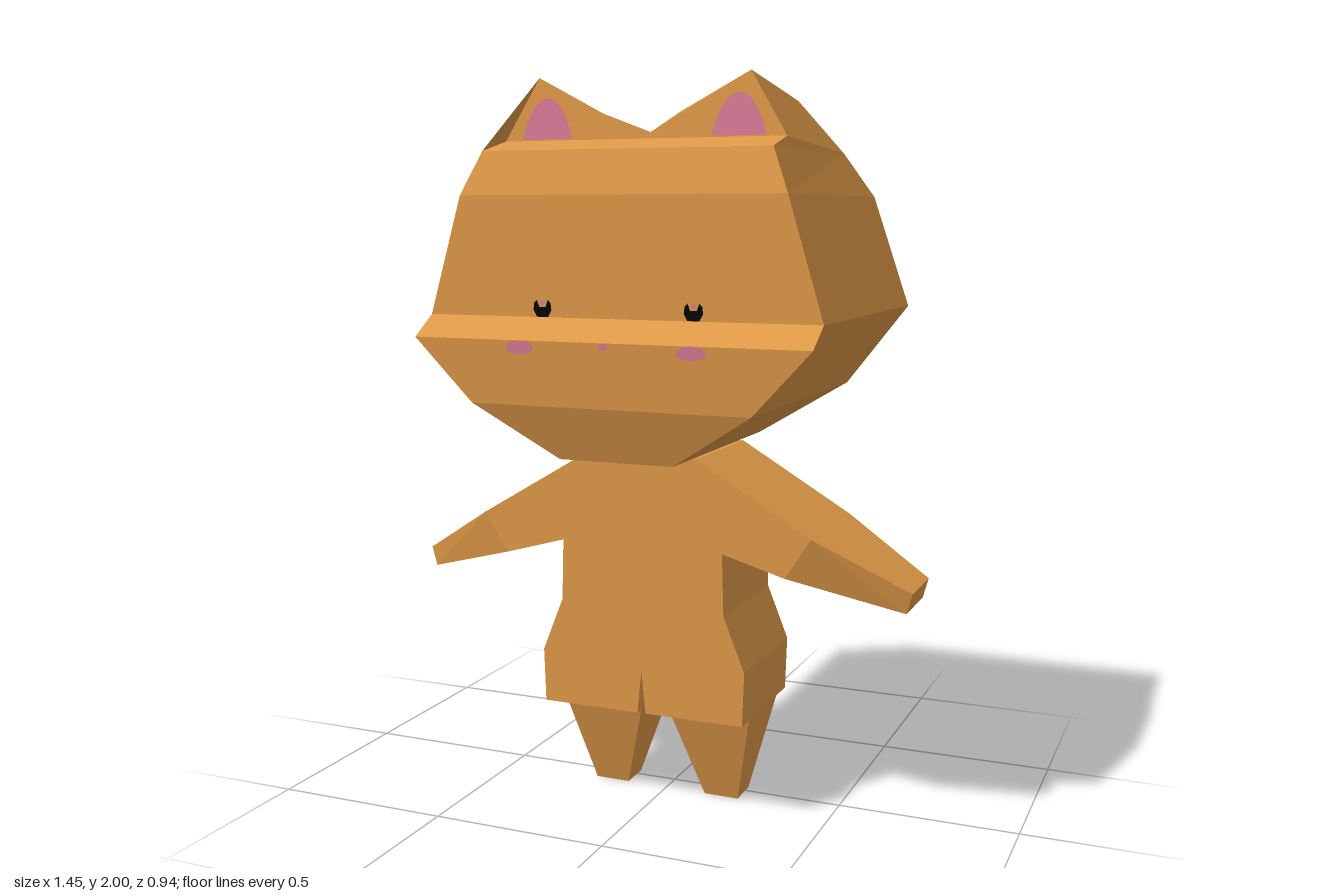
import * as THREE from 'three';
import { ConvexGeometry } from 'three/addons/geometries/ConvexGeometry.js';

const fur = new THREE.MeshStandardMaterial({ color: 0xdf9948 });
fur.name = 'orange fur';
const pink = new THREE.MeshStandardMaterial({ color: 0xdb7b98 });
pink.name = 'pink';
const black = new THREE.MeshStandardMaterial({ color: 0x050505 });
black.name = 'black';

function add(parent, name, geometry, material) {
  const mesh = new THREE.Mesh(geometry, material);
  mesh.name = name;
  parent.add(mesh);
  return mesh;
}

const flip = ([x, y, z]) => [-x, y, z];

// Flat-faced geometry from convex polygons, each split as a fan
function facets(polygons) {
  const pos = [];
  for (const p of polygons)
    for (let i = 1; i < p.length - 1; i++) pos.push(...p[0], ...p[i], ...p[i + 1]);
  const g = new THREE.BufferGeometry();
  g.setAttribute('position', new THREE.Float32BufferAttribute(pos, 3));
  g.computeVertexNormals();
  return g;
}

function headGeometry() {
  // Corner profiles on the +x side, from chin to crown
  const front = [
    [0.16, 1.005, 0.40], [0.39, 1.15, 0.455], [0.55, 1.32, 0.47], [0.55, 1.375, 0.385],
    [0.455, 1.69, 0.385], [0.405, 1.805, 0.35], [0.40, 1.835, 0.23],
  ];
  const back = [
    [0.16, 1.005, -0.27], [0.39, 1.15, -0.39], [0.55, 1.375, -0.465],
    [0.46, 1.69, -0.395], [0.40, 1.81, -0.28],
  ];
  const polys = [[flip(front[0]), flip(back[0]), back[0], front[0]]];
  for (let i = 0; i < front.length - 1; i++)
    polys.push([flip(front[i]), front[i], front[i + 1], flip(front[i + 1])]);
  for (let i = 0; i < back.length - 1; i++)
    polys.push([back[i], flip(back[i]), flip(back[i + 1]), back[i + 1]]);

  // Ear ridge and the valley between the ears
  const tip = [0.30, 2, 0.22], tipBack = [0.32, 1.945, -0.105];
  const mid = [0.11, 1.902, 0.225], midBack = [0.11, 1.81, -0.28];
  const valley = [0, 1.835, 0.23], valleyBack = [0, 1.81, -0.28];
  const half = [
    [front[0], back[0], back[1], front[1]],
    [front[1], back[1], back[2], front[3], front[2]],
    [front[3], back[2], back[3], front[4]],
    [front[4], back[3], back[4], front[5]],
    [front[6], front[5], back[4], tipBack, tip],
    [valley, front[6], tip, mid],
    [valley, mid, midBack, valleyBack],
    [mid, tip, tipBack, midBack],
    [back[4], midBack, tipBack],
  ];
  for (const p of half) polys.push(p, p.map(flip).reverse());
  return facets(polys);
}

function shapeOf(points) {
  return new THREE.Shape(points.map(([x, y]) => new THREE.Vector2(x, y)));
}

// Convex block between two four-cornered ends
function block(corners) {
  return new ConvexGeometry(corners.map((c) => new THREE.Vector3(...c)));
}

const rect = (x0, x1, z0, z1, y) => [[x0, y, z0], [x1, y, z0], [x1, y, z1], [x0, y, z1]];

export function createModel() {
  const model = new THREE.Group();
  model.name = 'catFigure';

  const head = new THREE.Group();
  head.name = 'head';
  model.add(head);
  add(head, 'headShell', headGeometry(), fur);

  // Torso with sleeves, hips and the slit between the thighs
  const side = [
    [0.16, 1.0], [0.48, 0.81], [0.41, 0.70], [0.235, 0.75],
    [0.24, 0.58], [0.30, 0.43], [0.295, 0.28], [0.012, 0.28],
  ];
  const outline = [...side, [0, 0.40], ...side.map(([x, y]) => [-x, y]).reverse()];
  const torso = new THREE.ExtrudeGeometry(shapeOf(outline), { depth: 0.365, bevelEnabled: false });
  add(model, 'torso', torso, fur).position.z = -0.125;

  for (const s of [1, -1]) {
    const label = s > 0 ? 'left' : 'right';

    // Tapering forearm
    const ends = [[0.48, 0.81, 0.24, -0.125], [0.41, 0.70, 0.24, -0.125],
      [0.725, 0.665, 0.135, -0.05], [0.71, 0.61, 0.135, -0.05]];
    const corners = ends.flatMap(([x, y, z0, z1]) => [[s * x, y, z0], [s * x, y, z1]]);
    add(model, label + 'Forearm', block(corners), fur);

    // Tapering leg
    const leg = block([...rect(0.035, 0.285, -0.095, 0.15, 0.285), ...rect(0.12, 0.22, -0.025, 0.065, 0)]
      .map(([x, y, z]) => [s * x, y, z]));
    add(model, label + 'Leg', leg, fur);

    // Inner ear
    const ear = new THREE.Shape();
    ear.moveTo(-0.075, 0);
    ear.lineTo(0.075, 0);
    ear.bezierCurveTo(0.055, 0.07, 0.03, 0.108, 0, 0.108);
    ear.bezierCurveTo(-0.03, 0.108, -0.055, 0.07, -0.075, 0);
    const earMesh = add(head, label + 'InnerEar', new THREE.ShapeGeometry(ear, 6), pink);
    earMesh.position.set(s * 0.272, 1.838, 0.234);
    earMesh.rotation.x = -0.05;

    // Notched eye with a small pink glint
    const eye = shapeOf([[-0.016, -0.022], [0.016, -0.022], [0.026, -0.004], [0.024, 0.014],
      [0.016, 0.022], [0.009, 0.004], [-0.009, 0.004], [-0.016, 0.022], [-0.024, 0.014], [-0.026, -0.004]]);
    add(head, label + 'Eye', new THREE.ShapeGeometry(eye), black).position.set(s * 0.212, 1.398, 0.389);
    add(head, label + 'EyeGlint', new THREE.CircleGeometry(0.007, 8), pink)
      .position.set(s * 0.212, 1.413, 0.39);

    // Cheek blush
    const cheek = add(head, label + 'Cheek', new THREE.CircleGeometry(0.04, 16), pink);
    cheek.scale.y = 0.45;
    cheek.position.set(s * 0.238, 1.302, 0.472);
    cheek.rotation.x = 0.088;
  }

  // Nose
  const nose = add(head, 'nose', new THREE.CircleGeometry(0.015, 10), pink);
  nose.scale.y = 0.6;
  nose.position.set(0, 1.311, 0.473);
  nose.rotation.x = 0.088;

  return model;
}
